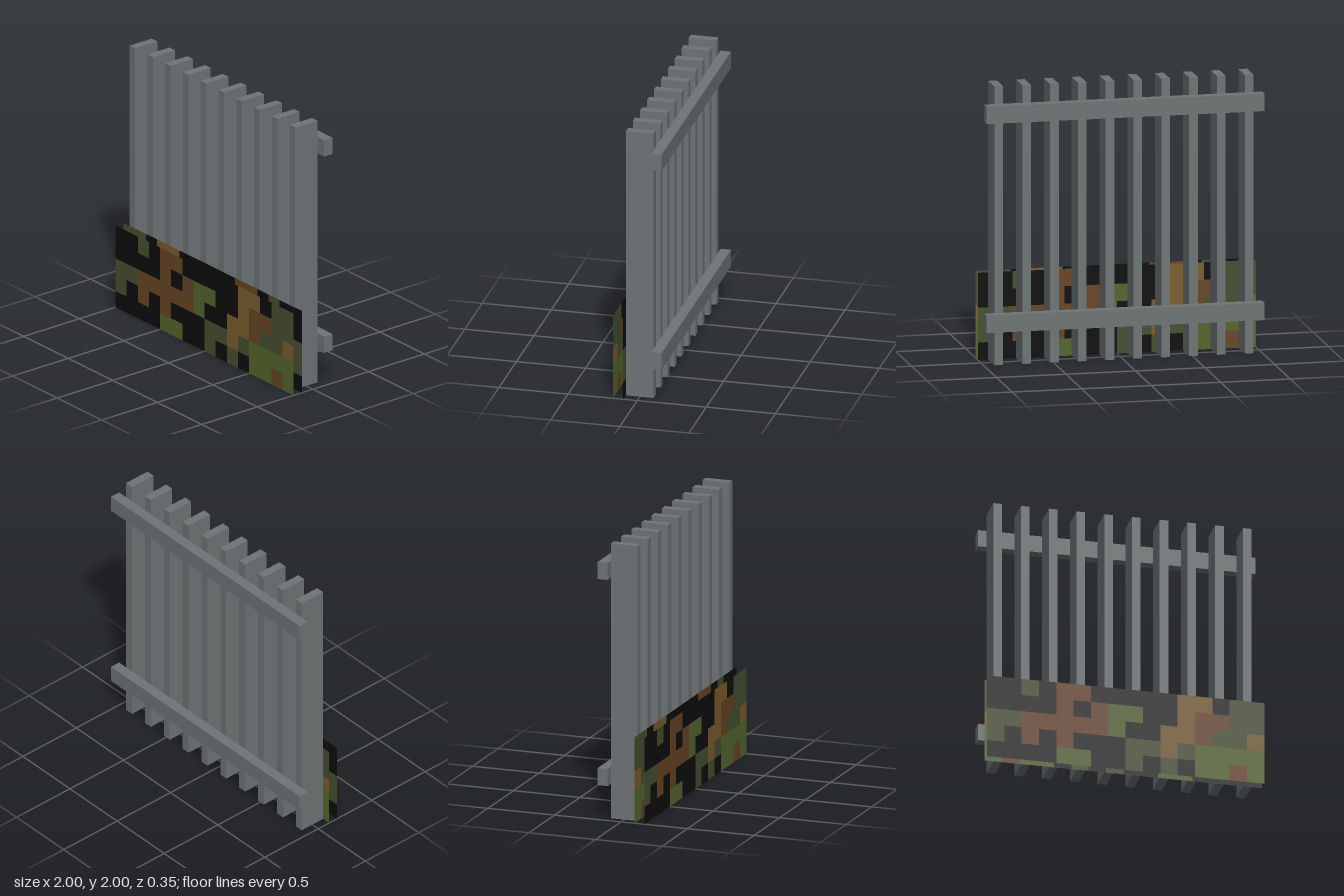
import * as THREE from 'three';
import { mergeGeometries } from 'three/addons/utils/BufferGeometryUtils.js';

const CELL = 0.125;

// Camouflage pattern, top row first, one letter per square cell
const PATTERN = [
  'KKGKBBKKKKKTTKGG',
  'KKKKBKBLLKKTBBGG',
  'GGBBBBBLKKTTBGGT',
  'GKBKBKKKGGTGLLLL',
  'KKKKLLKKGKGKLLBL',
];

function material(name, color, side = THREE.FrontSide) {
  const m = new THREE.MeshStandardMaterial({ color, side });
  m.name = name;
  return m;
}

function box(name, mat, w, h, d, x, y, z) {
  const mesh = new THREE.Mesh(new THREE.BoxGeometry(w, h, d), mat);
  mesh.name = name;
  mesh.position.set(x, y, z);
  return mesh;
}

// Thin sheet of coloured patches: each run of equal cells in a row is one plane
function camouflageSheet(name, paints) {
  const sheet = new THREE.Group();
  sheet.name = name;
  for (const [letter, mat] of Object.entries(paints)) {
    const patches = [];
    PATTERN.forEach((row, r) => {
      for (const run of row.matchAll(new RegExp(letter + '+', 'g'))) {
        const n = run[0].length;
        const patch = new THREE.PlaneGeometry(n * CELL, CELL);
        patch.translate(-1 + (run.index + n / 2) * CELL, (PATTERN.length - r - 0.5) * CELL, 0);
        patches.push(patch);
      }
    });
    const mesh = new THREE.Mesh(mergeGeometries(patches), mat);
    mesh.name = mat.name + 'Patches';
    sheet.add(mesh);
  }
  return sheet;
}

export function createModel() {
  const model = new THREE.Group();
  model.name = 'slattedFence';

  const grey = material('weatheredGrey', 0x6e7476);
  const paints = {
    K: material('black', 0x0d0d0d, THREE.DoubleSide),
    G: material('darkOlive', 0x464f2f, THREE.DoubleSide),
    L: material('lightOlive', 0x55662c, THREE.DoubleSide),
    B: material('brown', 0x684524, THREE.DoubleSide),
    T: material('tan', 0x7a5e2d, THREE.DoubleSide),
  };

  // Upright slats, set edge-on
  const slats = new THREE.Group();
  slats.name = 'slats';
  for (let i = 0; i < 10; i++) {
    slats.add(box('slat', grey, 0.0625, 2, 0.2, -0.906 + i * 0.2, 1, 0));
  }
  model.add(slats);

  // Two rails across the back
  model.add(box('lowerRail', grey, 2, CELL, 0.075, 0, 0.3125, -0.1375));
  model.add(box('upperRail', grey, 2, CELL, 0.075, 0, 1.8125, -0.1375));

  // Camouflage screen: a front sheet and a rear sheet facing backwards, open at the edges
  const front = camouflageSheet('frontSheet', paints);
  front.position.z = 0.175;
  const rear = camouflageSheet('rearSheet', paints);
  rear.rotation.y = Math.PI;
  rear.position.z = 0.101;
  model.add(front, rear);

  return model;
}
